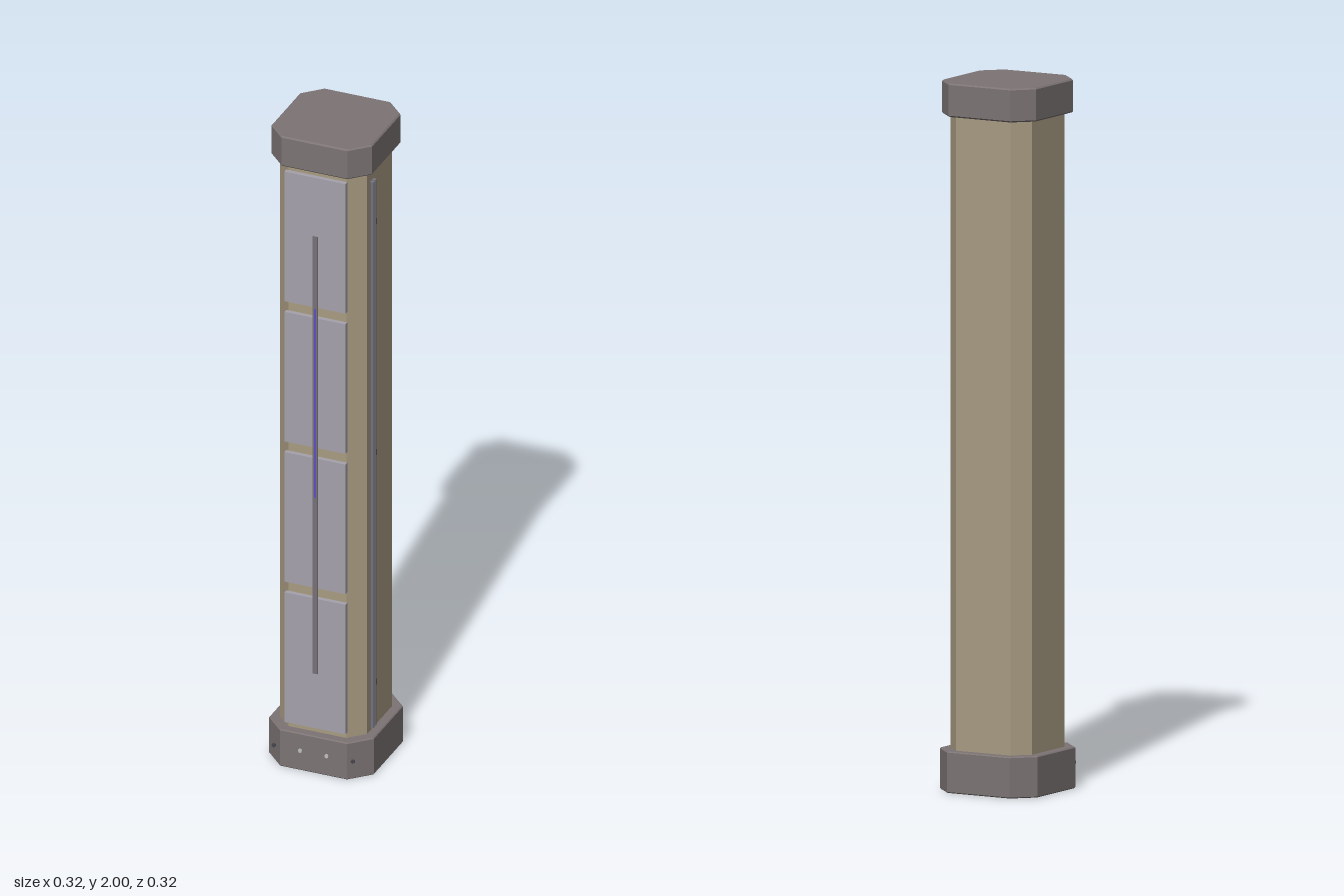
import * as THREE from 'three';

const mat = (name, color, extra = {}) => {
  const m = new THREE.MeshStandardMaterial({ color, ...extra });
  m.name = name;
  return m;
};

// square with cut corners: h = half width, c = where the cut starts
function octagon(h, c) {
  return new THREE.Shape([
    [c, -h], [h, -c], [h, c], [c, h], [-c, h], [-h, c], [-h, -c], [-c, -h],
  ].map(([x, y]) => new THREE.Vector2(x, y)));
}

// upright octagonal prism from y0 to y1 with a small edge bevel
function prism(h, c, y0, y1, bevel = 0) {
  const geo = new THREE.ExtrudeGeometry(octagon(h - bevel, c - bevel * 0.4), {
    depth: y1 - y0 - 2 * bevel,
    bevelEnabled: bevel > 0,
    bevelSize: bevel,
    bevelThickness: bevel,
    bevelSegments: 1,
  });
  geo.rotateX(-Math.PI / 2);
  geo.translate(0, y0 + bevel, 0);
  return geo;
}

export function createModel() {
  const body = mat('tan body', 0xa99c82);
  const cap = mat('warm grey cap', 0x7d7474);
  const panelMat = mat('pale grey panel', 0xa5a2ac);
  const stripMat = mat('dark strip', 0x777078);
  const glow = mat('violet light', 0x5b50c4);
  const cable = mat('conduit grey', 0x77757f);
  const dark = mat('dark metal', 0x45454c);
  const light = mat('light bolt', 0xc0c0c4);

  const group = new THREE.Group();
  group.name = 'column';
  const add = (name, geo, material, x = 0, y = 0, z = 0) => {
    const mesh = new THREE.Mesh(geo, material);
    mesh.name = name;
    mesh.position.set(x, y, z);
    group.add(mesh);
    return mesh;
  };

  // shaft and end caps
  add('shaft', prism(0.132, 0.088, 0.1, 1.92), body);
  add('base', prism(0.159, 0.102, 0, 0.117, 0.003), cap);
  add('topCap', prism(0.153, 0.1, 1.905, 2, 0.004), cap);

  // four front panels
  const panelGeo = new THREE.BoxGeometry(0.185, 0.412, 0.013);
  for (let i = 0; i < 4; i++) {
    add('frontPanel', panelGeo, panelMat, -0.001, 0.342 + i * 0.446, 0.1395);
  }

  // centre strip with the lit middle section
  add('centreStrip', new THREE.BoxGeometry(0.016, 1.39, 0.002), stripMat, 0, 1.005, 0.147);
  add('lightLine', new THREE.BoxGeometry(0.006, 0.6, 0.002), glow, 0, 1.17, 0.1475);

  // twin conduits on the left side, held by clips
  const pipeGeo = new THREE.CylinderGeometry(0.006, 0.006, 1.735, 10);
  for (const z of [0.074, 0.06]) add('conduit', pipeGeo, cable, 0.142, 1.002, z);
  const clipGeo = new THREE.BoxGeometry(0.016, 0.018, 0.01);
  for (const y of [0.27, 1.0, 1.735]) add('conduitClip', clipGeo, dark, 0.139, y, 0.058);

  // row of bolts along the base
  const boltGeo = new THREE.CylinderGeometry(0.006, 0.006, 0.004, 10).rotateX(Math.PI / 2);
  for (const x of [-0.12, -0.04, 0.04, 0.12]) {
    add('baseBolt', boltGeo, Math.abs(x) < 0.1 ? light : dark, x, 0.063, 0.16);
  }

  group.position.z = -0.001;
  return group;
}
